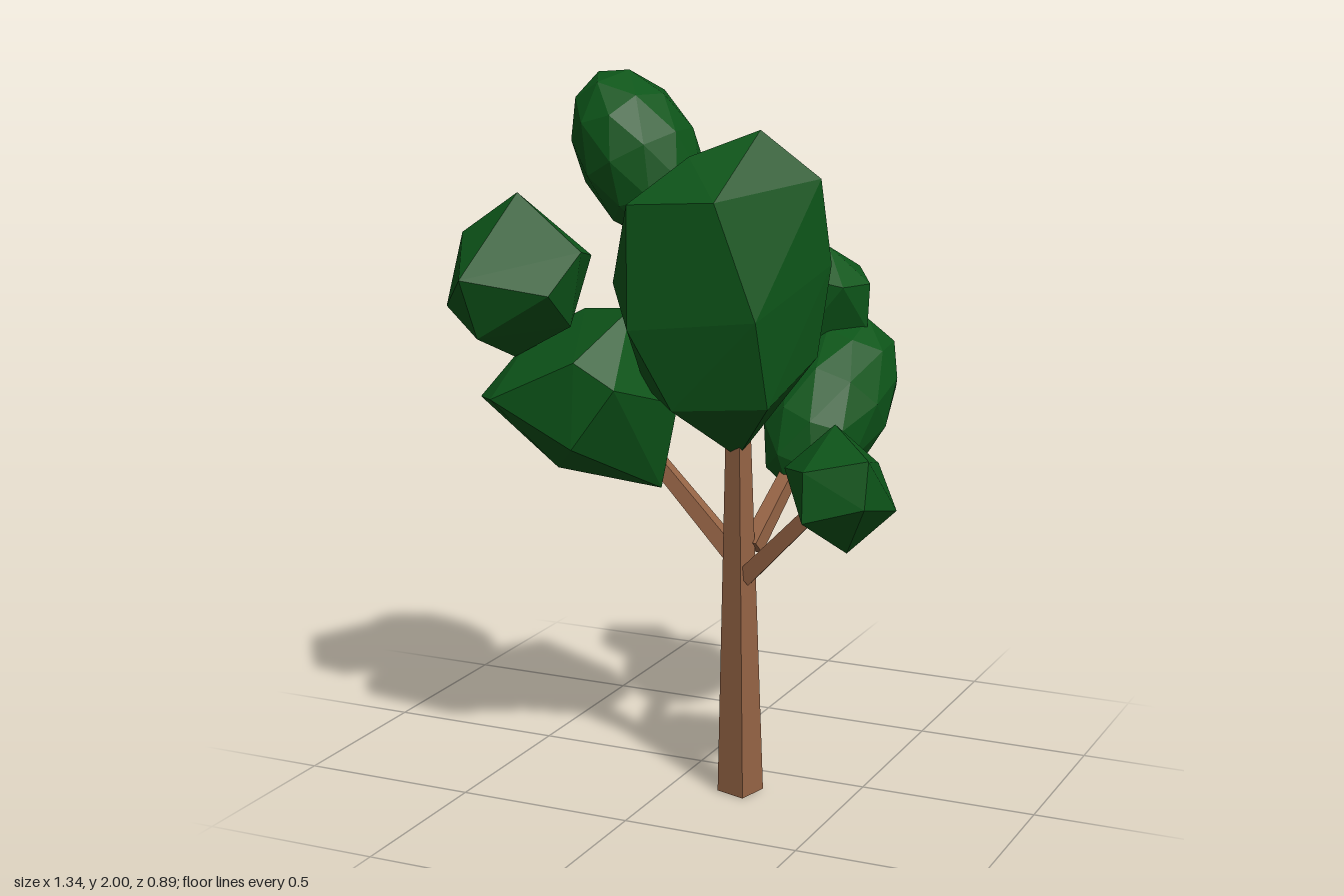
import * as THREE from 'three';
import { ConvexGeometry } from 'three/addons/geometries/ConvexGeometry.js';

const bark = new THREE.MeshStandardMaterial({ color: 0x976546, flatShading: true });
const leaf = new THREE.MeshStandardMaterial({ color: 0x0d5519, flatShading: true });
const v = (p) => new THREE.Vector3(...p);

// Tapered four-sided limb between two points, twisted about its own axis
function limb(name, from, to, r0, r1, twist) {
  const a = v(from), b = v(to), dir = b.clone().sub(a);
  const geo = new THREE.CylinderGeometry(r1, r0, dir.length(), 4).rotateY(twist);
  const mesh = new THREE.Mesh(geo, bark);
  mesh.name = name;
  mesh.position.copy(a).add(b).multiplyScalar(0.5);
  mesh.quaternion.setFromUnitVectors(new THREE.Vector3(0, 1, 0), dir.normalize());
  return mesh;
}

// Rounder leaf clump: a subdivided icosahedron, one vertex up before turning
function roundClump(name, center, radii, turn) {
  const geo = new THREE.IcosahedronGeometry(1, 1).rotateZ(-Math.atan(2 / (1 + Math.sqrt(5))));
  const mesh = new THREE.Mesh(geo, leaf);
  mesh.name = name;
  mesh.position.set(...center);
  mesh.scale.set(...radii);
  mesh.rotation.set(...turn);
  return mesh;
}

// Irregular faceted leaf clump
function facetedClump(name, corners) {
  const mesh = new THREE.Mesh(new ConvexGeometry(corners.map(v)), leaf);
  mesh.name = name;
  return mesh;
}

export function createModel() {
  const tree = new THREE.Group();
  tree.name = 'tree';

  // Trunk and branches
  tree.add(
    limb('trunk', [0.195, 0, 0.165], [0.2, 1.05, 0.2], 0.064, 0.034, Math.PI / 4 - 0.28),
    limb('rightBranch', [0.2, 0.67, 0.18], [-0.1, 0.92, 0.1], 0.034, 0.028, 0.8),
    limb('leftBranch', [0.22, 0.635, 0.19], [0.48, 0.9, 0.24], 0.034, 0.028, 0.8),
    limb('backBranch', [0.225, 0.71, 0.16], [0.27, 0.92, -0.06], 0.033, 0.027, 0.6)
  );

  // Large central crown
  tree.add(facetedClump('mainCrown', [
    [0.27, 1.86, 0.22], [0.3, 1.75, 0.08], [0.41, 1.73, 0.14], [0.43, 1.5, 0.11],
    [0.34, 1.14, 0.33], [0.4, 1.25, 0.13], [0.2, 0.97, 0.2], [-0.06, 1.15, 0.24],
    [-0.1, 1.45, 0.35], [-0.03, 1.67, 0.41], [0.1, 1.79, 0.3], [0.225, 1.69, 0.42],
    [-0.02, 1.34, 0.43], [0.33, 1.38, 0.39], [0.08, 1.12, 0.37], [0.2, 1.34, -0.01],
    [0.22, 1.15, 0.05], [0.2, 1.68, 0.01], [0.02, 1.5, 0.06]
  ]));

  // Wide clump low on the right-hand side
  tree.add(facetedClump('lowerRightClump', [
    [-0.52, 1.1, 0.33], [-0.5, 1.09, 0.15], [-0.45, 1.25, 0.15], [-0.3, 1.33, 0.12],
    [-0.11, 1.36, 0.22], [0.02, 1.1, 0.2], [-0.03, 0.86, 0.2], [-0.35, 0.885, 0.2],
    [-0.19, 1, 0.43], [-0.43, 1.12, 0.44], [-0.18, 1.24, 0.43], [-0.07, 1.17, 0.41],
    [-0.32, 1.23, -0.045], [-0.14, 1.2, -0.01], [-0.25, 0.96, 0.04]
  ]));

  // Clump above it
  tree.add(facetedClump('upperRightClump', [
    [-0.445, 1.66, 0.24], [-0.5, 1.57, 0.01], [-0.62, 1.54, 0.24], [-0.67, 1.33, 0.25],
    [-0.28, 1.48, 0.12], [-0.24, 1.51, 0.26], [-0.52, 1.44, 0.44], [-0.29, 1.4, 0.36],
    [-0.28, 1.3, 0.25], [-0.46, 1.2, 0.24], [-0.5, 1.27, 0.38], [-0.42, 1.3, 0.03]
  ]));

  // Small clump at the end of the left branch
  tree.add(facetedClump('leftClump', [
    [0.5, 1.1, 0.25], [0.56, 0.77, 0.31], [0.57, 0.97, 0.105], [0.48, 0.87, 0.43],
    [0.67, 0.88, 0.235], [0.375, 0.98, 0.295], [0.64, 1.04, 0.37], [0.42, 0.82, 0.17],
    [0.645, 0.92, 0.41], [0.42, 0.97, 0.12], [0.47, 1.0, 0.4], [0.6, 0.84, 0.14]
  ]));

  // Small clump on top of the back clump
  tree.add(facetedClump('backUpperClump', [
    [0.26, 1.48, -0.3], [0.16, 1.44, -0.34], [0.31, 1.41, -0.42], [0.2, 1.41, -0.175],
    [0.385, 1.38, -0.305], [0.34, 1.38, -0.21], [0.31, 1.2, -0.4], [0.38, 1.25, -0.3],
    [0.2, 1.2, -0.18], [0.17, 1.22, -0.34], [0.27, 1.1, -0.3]
  ]));

  tree.add(
    roundClump('topClump', [-0.105, 1.772, 0.175], [0.162, 0.25, 0.178], [0, 0, 0.5]),
    roundClump('backClump', [0.305, 1.045, -0.215], [0.17, 0.295, 0.17], [-0.82, 0, -0.15])
  );
  return tree;
}
